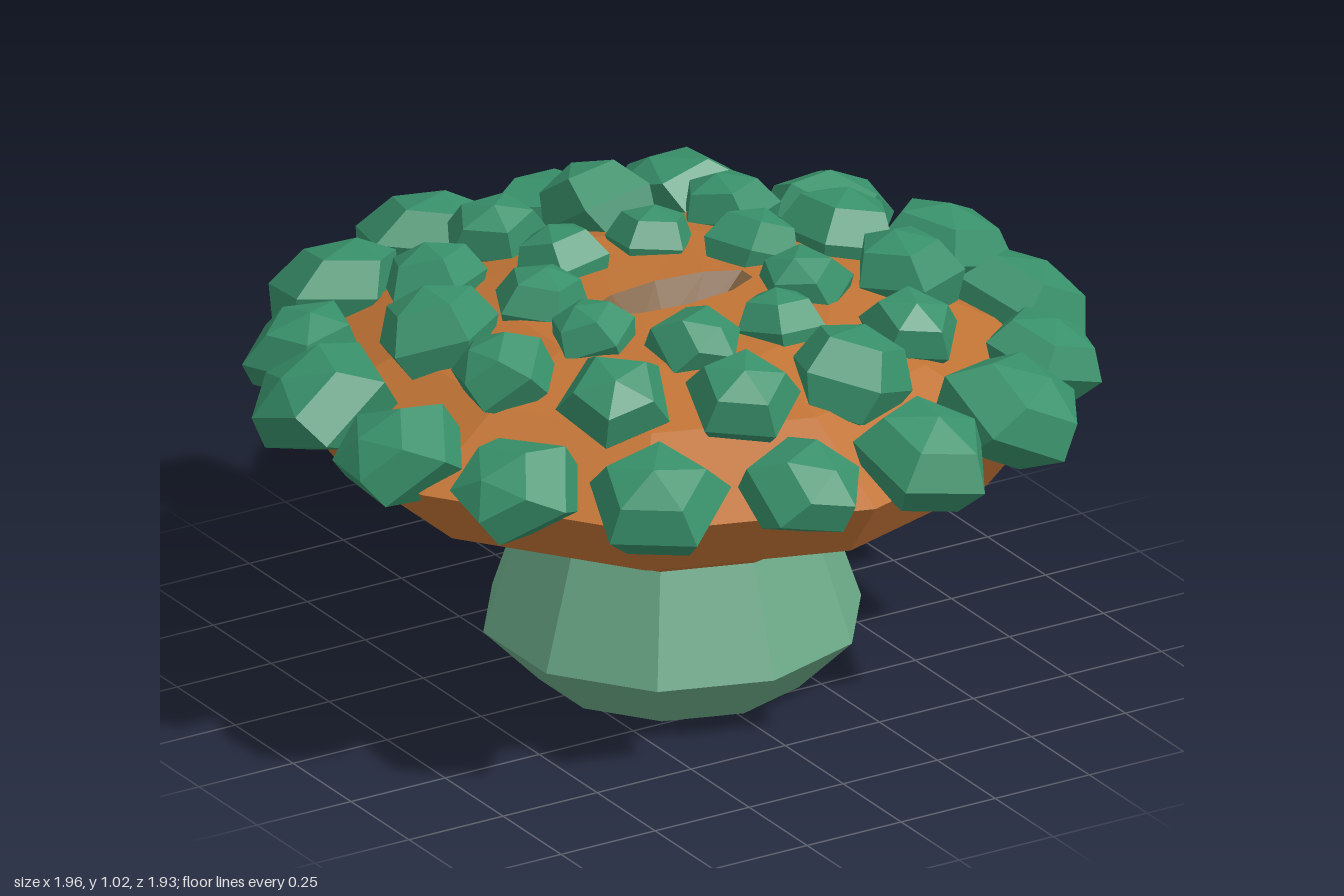
import * as THREE from 'three';

const flat = (name, color, extra = {}) => {
  const m = new THREE.MeshStandardMaterial({ color, flatShading: true, ...extra });
  m.name = name;
  return m;
};

// Ten-sided skin through rings of [radius x, radius z, y], listed from the outside bottom upward
function loft(rings, sides = 10) {
  const pos = [];
  const pt = ([rx, rz, y], i) => {
    const a = (i % sides) / sides * Math.PI * 2;
    return [rx * Math.sin(a), y, rz * Math.cos(a)];
  };
  for (let k = 0; k < rings.length - 1; k++) {
    const lo = rings[k], up = rings[k + 1];
    for (let i = 0; i < sides; i++) {
      const a = pt(lo, i), b = pt(lo, i + 1), c = pt(up, i + 1), d = pt(up, i);
      if (lo[0] > 0) pos.push(...a, ...b, ...c);
      if (up[0] > 0) pos.push(...a, ...c, ...d);
    }
  }
  const g = new THREE.BufferGeometry();
  g.setAttribute('position', new THREE.Float32BufferAttribute(pos, 3));
  g.computeVertexNormals();
  return g;
}

const round = (r, y) => [r, r, y];

export function createModel() {
  const model = new THREE.Group();
  model.name = 'crystalMushroom';
  const body = new THREE.Group();
  body.name = 'body';
  body.position.set(0.015, 0, -0.012);
  model.add(body);

  const stemMat = flat('pale green', 0x6cab89);
  const capMat = flat('rust brown', 0xc07335);
  const hollowMat = flat('dull brown', 0x856544);
  const leafMat = flat('deep green', 0x38906a);

  const add = (name, geo, mat, parent = body) => {
    const m = new THREE.Mesh(geo, mat);
    m.name = name;
    parent.add(m);
    return m;
  };

  // Stem: flared foot narrowing to the cap
  add('stem', loft([round(0, 0), round(0.31, 0), round(0.44, 0.13), round(0.352, 0.39), round(0, 0.39)]), stemMat);

  // Cap: funnel underside, rim, shallow dome ending at the slit opening
  const slit = [0.21, 0.075, 0.925];
  add('cap', loft([
    round(0, 0.39), round(0.355, 0.39), round(0.62, 0.55), round(0.77, 0.577),
    round(0.877, 0.72), round(0.62, 0.85), round(0.38, 0.915), slit,
  ]), capMat);

  // Sunken hollow in the middle of the cap
  add('hollow', loft([slit, [0.11, 0.032, 0.83], [0, 0, 0.83]]), hollowMat);

  // Faceted growths in three rings, each tilted with the slope of the dome
  let seed = 11;
  const rand = () => (seed = (seed * 16807) % 2147483647) / 2147483647;
  const jitter = (s) => (rand() * 2 - 1) * s;

  const lump = (r, squash) => {
    const g = new THREE.SphereGeometry(r, 5, 4);
    g.rotateY(rand() * 6.28).rotateX(jitter(0.5)).rotateZ(jitter(0.5));
    return g.scale(1, squash, 1);
  };

  const rows = [
    { name: 'outerGrowth', radius: 0.84, y: 0.785, tilt: 0.38, squash: 0.62,
      sizes: [16, 14, 17, 16, 14, 16, 15, 15, 17, 14, 16, 16, 14, 17, 15, 16] },
    { name: 'middleGrowth', radius: 0.555, y: 0.895, tilt: 0.28, squash: 0.75,
      sizes: [13, 11.5, 14, 13, 13, 11.5, 14, 12, 12, 14, 11.5, 14] },
    { name: 'innerGrowth', radius: 0.305, y: 0.925, tilt: 0.12, squash: 0.78,
      sizes: [11, 10, 11, 10, 11, 11, 10, 11] },
  ];
  for (const row of rows) {
    const ring = new THREE.Group();
    ring.name = row.name + 'Ring';
    body.add(ring);
    row.sizes.forEach((size, i) => {
      const a = (i + 0.5) / row.sizes.length * Math.PI * 2;
      const m = add(row.name, lump(size * 0.0106, row.squash), leafMat, ring);
      m.position.set(row.radius * Math.cos(a), row.y + jitter(0.01), row.radius * Math.sin(a));
      m.rotation.set(0, -a, -row.tilt, 'YXZ');
    });
  }
  return model;
}
